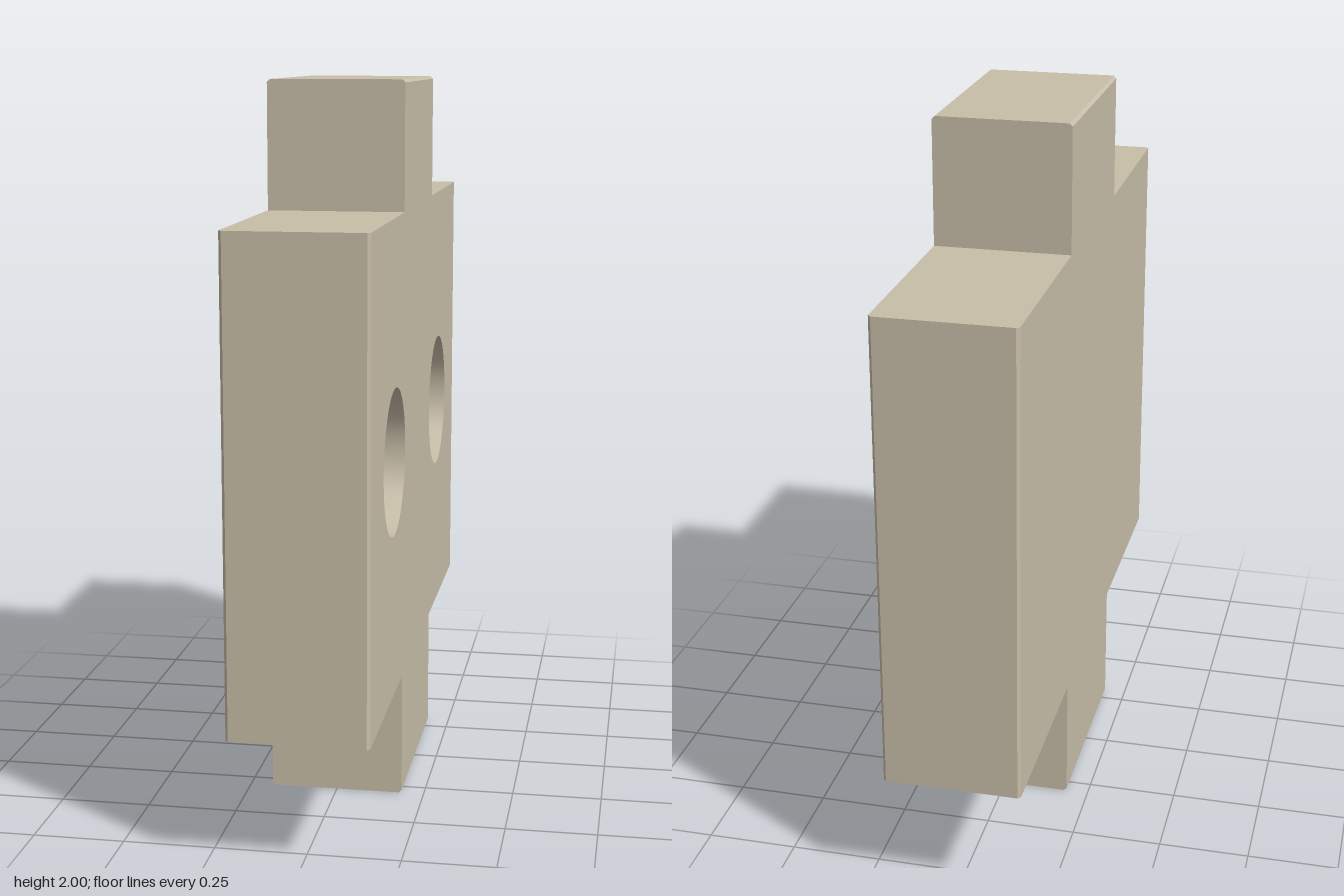
import * as THREE from 'three';

const HALF = 0.187;      // half thickness
const CHAMFER = 0.008;   // small bevel on the four outer end faces
const ARM = 0.296, END = 0.88, BODY = 0.65, TOP = 1;
const HOLE_R = 0.2, HOLE_X = 0.46, HOLE_DEPTH = 0.1;

// Cross outline, counter-clockwise; only the outer ends pull in by c
function outline(c) {
  const e = END - c, t = TOP - c;
  return [
    [-ARM, -t], [ARM, -t], [ARM, -BODY], [e, -BODY], [e, BODY], [ARM, BODY],
    [ARM, t], [-ARM, t], [-ARM, BODY], [-e, BODY], [-e, -BODY], [-ARM, -BODY],
  ].map(([x, y]) => new THREE.Vector2(x, y));
}

// Side walls lofted through outline rings from back to front
function wallGeometry() {
  const rings = [[-HALF, CHAMFER], [-HALF + CHAMFER, 0], [HALF - CHAMFER, 0], [HALF, CHAMFER]]
    .map(([z, c]) => outline(c).map(p => [p.x, p.y, z]));
  const pos = [];
  for (let r = 0; r < rings.length - 1; r++) {
    const lo = rings[r], hi = rings[r + 1];
    for (let i = 0; i < lo.length; i++) {
      const j = (i + 1) % lo.length;
      pos.push(...lo[i], ...lo[j], ...hi[j], ...lo[i], ...hi[j], ...hi[i]);
    }
  }
  const g = new THREE.BufferGeometry();
  g.setAttribute('position', new THREE.Float32BufferAttribute(pos, 3));
  g.computeVertexNormals();
  return g;
}

export function createModel() {
  const model = new THREE.Group();
  model.name = 'crossBlock';
  const color = 0xc8bea8;
  const solid = new THREE.MeshStandardMaterial({ color });
  const inside = new THREE.MeshStandardMaterial({ color, side: THREE.BackSide });

  // Drawn in the XY plane, then turned so the pocketed face looks to +x
  const add = (name, geometry, material = solid) => {
    geometry.rotateY(Math.PI / 2).translate(0, TOP, 0);
    const mesh = new THREE.Mesh(geometry, material);
    mesh.name = name;
    model.add(mesh);
  };

  add('edgeWalls', wallGeometry());

  // Plain face
  add('plainFace', new THREE.ShapeGeometry(new THREE.Shape(outline(CHAMFER)))
    .rotateY(Math.PI).translate(0, 0, -HALF));

  // Face with two round openings
  const face = new THREE.Shape(outline(CHAMFER));
  for (const s of [-1, 1]) {
    face.holes.push(new THREE.Path().absarc(s * HOLE_X, 0, HOLE_R, 0, Math.PI * 2, true));
  }
  add('pocketFace', new THREE.ShapeGeometry(face, 32).translate(0, 0, HALF));

  // Blind round pockets: wall and floor
  for (const s of [-1, 1]) {
    const side = s < 0 ? 'front' : 'back';
    add(side + 'PocketWall',
      new THREE.CylinderGeometry(HOLE_R, HOLE_R, HOLE_DEPTH, 64, 1, true)
        .rotateX(Math.PI / 2).translate(s * HOLE_X, 0, HALF - HOLE_DEPTH / 2), inside);
    add(side + 'PocketFloor',
      new THREE.CircleGeometry(HOLE_R, 64).translate(s * HOLE_X, 0, HALF - HOLE_DEPTH));
  }
  return model;
}
